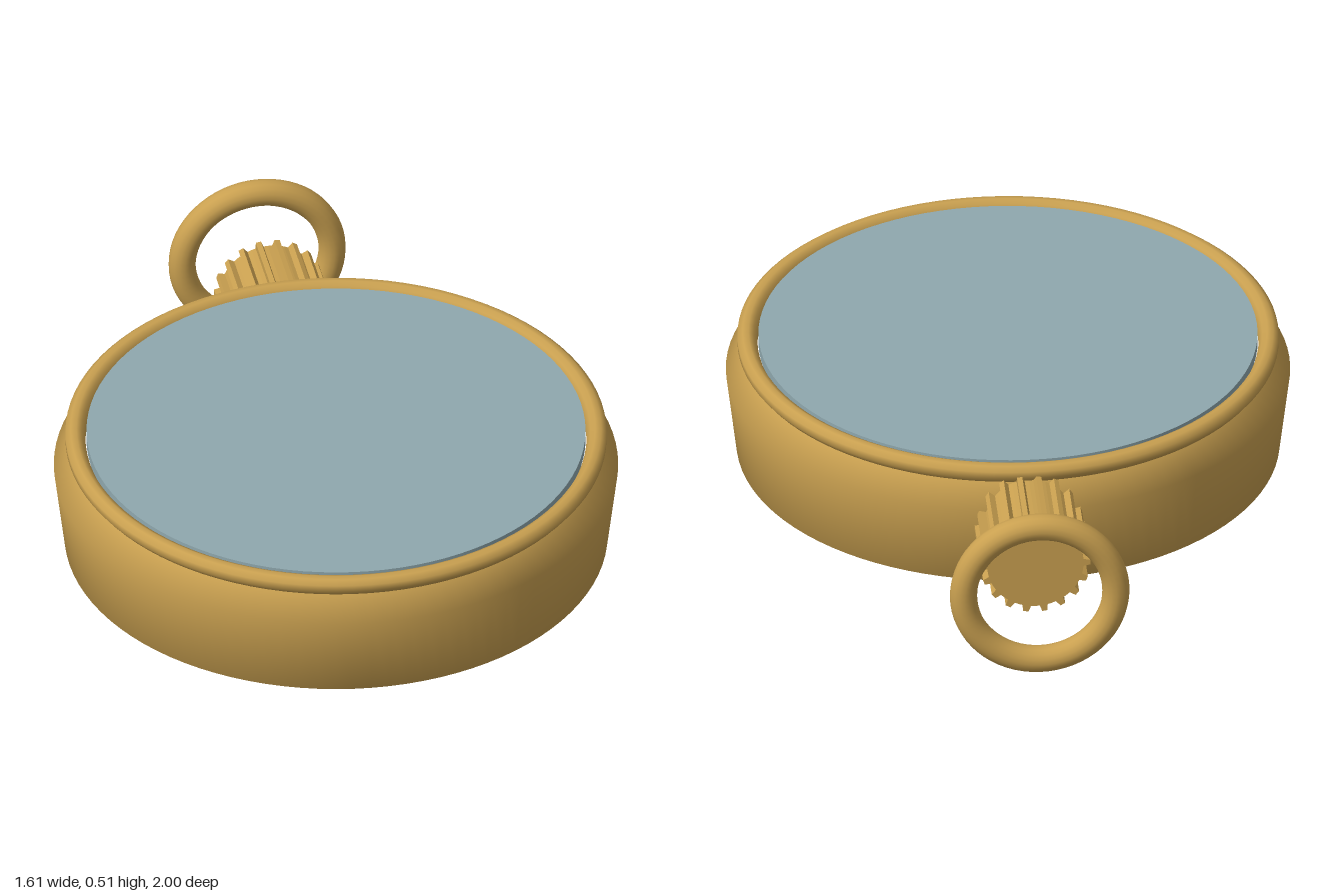
import * as THREE from 'three';

const gold = new THREE.MeshStandardMaterial({ name: 'gold', color: 0xc9a050 });
const glassBlue = new THREE.MeshStandardMaterial({ name: 'glass blue', color: 0x8fa8ae });

function add(parent, name, geometry, material, x, y, z) {
  const mesh = new THREE.Mesh(geometry, material);
  mesh.name = name;
  mesh.position.set(x, y, z);
  parent.add(mesh);
  return mesh;
}

function lathe(profile) {
  return new THREE.LatheGeometry(profile.map(([r, y]) => new THREE.Vector2(r, y)), 96);
}

// Gear outline with narrow ridges and wider valleys
function ridgedShape(teeth, inner, outer) {
  const shape = new THREE.Shape();
  const step = (Math.PI * 2) / teeth;
  for (let i = 0; i < teeth; i++) {
    const corners = [[-0.24, inner], [-0.14, outer], [0.14, outer], [0.24, inner], [0.5, inner]];
    corners.forEach(([offset, r], k) => {
      const a = (i + offset) * step;
      const x = r * Math.cos(a), y = r * Math.sin(a);
      if (i === 0 && k === 0) shape.moveTo(x, y);
      else shape.lineTo(x, y);
    });
  }
  shape.closePath();
  return shape;
}

export function createModel() {
  const group = new THREE.Group();
  group.name = 'pocketWatch';
  const caseZ = 0.195;
  const crownY = 0.26;

  // Case with chamfered base and sloped shoulder
  add(group, 'case', lathe([
    [0, 0.045], [0.68, 0.045], [0.775, 0.075], [0.805, 0.32], [0.757, 0.392],
  ]), gold, 0, 0, caseZ);

  // Rounded rim around the glass
  add(group, 'bezel', lathe([
    [0.715, 0.39], [0.757, 0.391], [0.772, 0.41], [0.772, 0.43],
    [0.757, 0.442], [0.74, 0.444], [0.725, 0.436], [0.715, 0.415], [0.715, 0.39],
  ]), gold, 0, 0, caseZ);

  // Glass disc
  add(group, 'glass', new THREE.CylinderGeometry(0.712, 0.712, 0.03, 96), glassBlue, 0, 0.421, caseZ);

  // Ridged winding crown
  const crown = new THREE.ExtrudeGeometry(ridgedShape(18, 0.138, 0.157), {
    depth: 0.24, bevelEnabled: false,
  });
  add(group, 'crown', crown, gold, 0, crownY, -0.805);

  // Hanging ring
  add(group, 'ring', new THREE.TorusGeometry(0.218, 0.039, 16, 64), gold, 0, 0.258, -0.961);

  return group;
}
